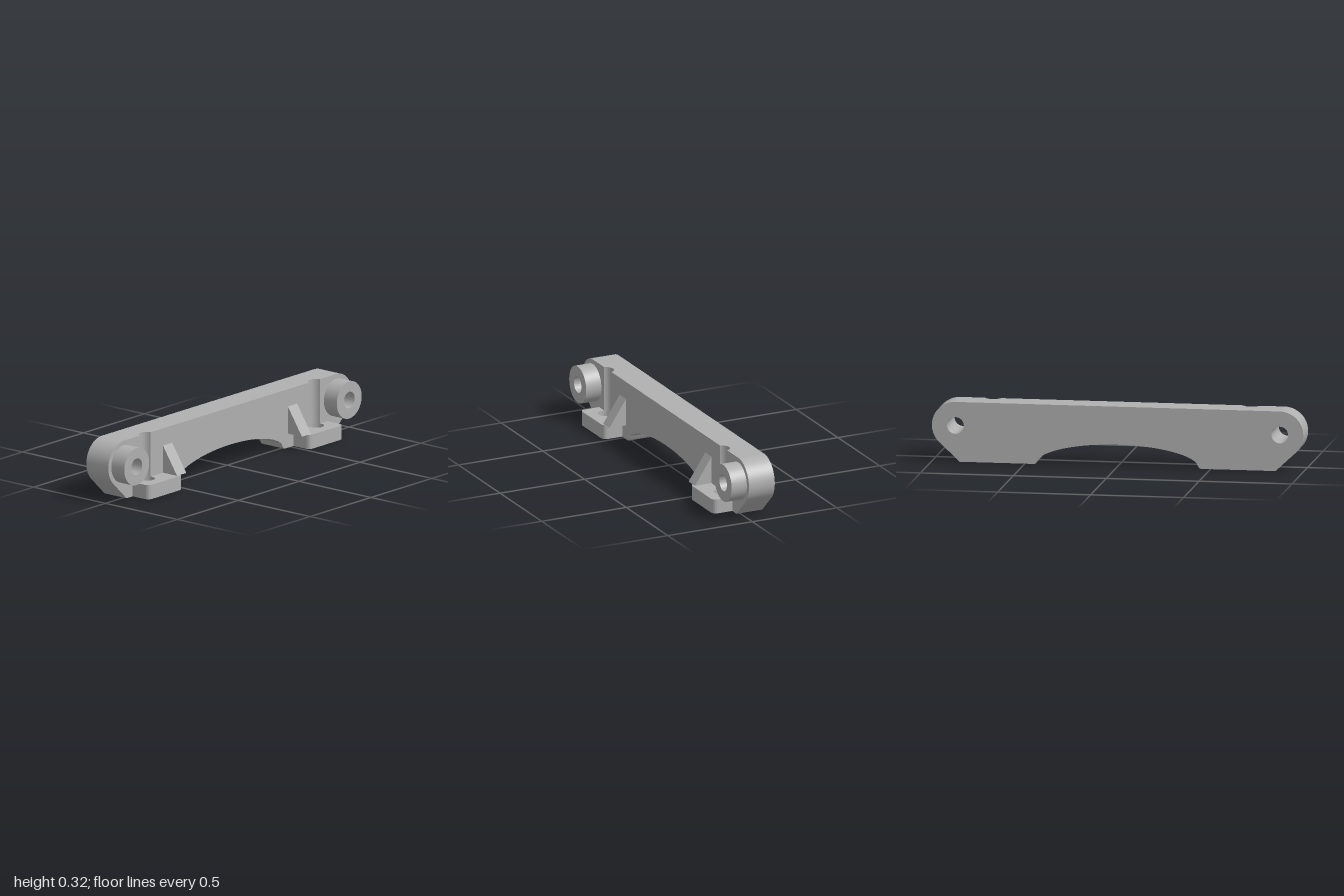
import * as THREE from 'three';
import { toCreasedNormals } from 'three/addons/utils/BufferGeometryUtils.js';

const BACK = -0.133, FACE = 0.02, TOP = 0.322; // plate faces
const PAD_IN = 0.52, PAD_OUT = 0.8, PAD_X = 0.132, PAD_H = 0.078;
const EYE_Z = 0.873, EYE_Y = 0.195, EYE_R = 0.045; // cross bores
const BOLT_X = 0.03, BOLT_Z = 0.695, BOLT_R = 0.0435; // vertical bores

function circle(x, y, r) {
  return new THREE.Path().absarc(x, y, r, 0, Math.PI * 2);
}

function extrude(shape, depth) {
  return new THREE.ExtrudeGeometry(shape, { depth, bevelEnabled: false, curveSegments: 24 });
}

// Side profile (-z, y) swept along x
function sweepX(shape, x0, x1) {
  return extrude(shape, x1 - x0).rotateY(Math.PI / 2).translate(x0, 0, 0);
}

// Plan profile (x, -z) swept along y
function sweepY(shape, y0, y1) {
  return extrude(shape, y1 - y0).rotateX(-Math.PI / 2).translate(0, y0, 0);
}

export function createModel() {
  const group = new THREE.Group();
  const grey = new THREE.MeshStandardMaterial({ color: 0xb0b0b0 });
  grey.name = 'plain grey';

  const add = (name, geometry) => {
    const mesh = new THREE.Mesh(toCreasedNormals(geometry, 0.5), grey);
    mesh.name = name;
    group.add(mesh);
  };

  // Middle of the plate with the arched underside
  const middle = new THREE.Shape();
  middle.moveTo(-PAD_IN, 0);
  middle.lineTo(-0.45, 0);
  middle.quadraticCurveTo(-0.437, 0, -0.425, 0.03);
  const lip = Math.asin(0.03 / 0.117);
  middle.absellipse(0, 0, 0.44, 0.117, Math.PI - lip, lip, true);
  middle.quadraticCurveTo(0.437, 0, 0.45, 0);
  middle.lineTo(PAD_IN, 0);
  middle.lineTo(PAD_IN, TOP);
  middle.lineTo(-PAD_IN, TOP);
  middle.closePath();
  add('archedPlate', sweepX(middle, BACK, FACE));

  for (const s of [1, -1]) {
    const side = s > 0 ? 'back' : 'front';

    // Rounded end of the plate with a cross bore
    const end = new THREE.Shape();
    const R = TOP - EYE_Y;
    end.moveTo(s * PAD_OUT, 0);
    end.lineTo(s * 0.85, 0);
    for (let i = 0; i <= 24; i++) {
      const a = THREE.MathUtils.degToRad(-47 + (137 * i) / 24);
      end.lineTo(s * (EYE_Z + R * Math.cos(a)), EYE_Y + R * Math.sin(a));
    }
    end.lineTo(s * PAD_OUT, TOP);
    end.closePath();
    end.holes.push(circle(s * EYE_Z, EYE_Y, EYE_R));
    add(side + 'PlateEnd', sweepX(end, BACK, FACE));

    // Tubular boss around the cross bore
    const boss = new THREE.Shape();
    boss.absarc(s * EYE_Z, EYE_Y, 0.102, 0, Math.PI * 2);
    boss.holes.push(circle(s * EYE_Z, EYE_Y, EYE_R));
    add(side + 'Boss', sweepX(boss, FACE, 0.11));

    // Foot pad with rounded outer corners and a bolt hole
    const r = 0.032;
    const pad = new THREE.Shape();
    pad.moveTo(BACK, s * PAD_IN);
    pad.lineTo(PAD_X - r, s * PAD_IN);
    pad.quadraticCurveTo(PAD_X, s * PAD_IN, PAD_X, s * (PAD_IN + r));
    pad.lineTo(PAD_X, s * (PAD_OUT - r));
    pad.quadraticCurveTo(PAD_X, s * PAD_OUT, PAD_X - r, s * PAD_OUT);
    pad.lineTo(BACK, s * PAD_OUT);
    pad.closePath();
    pad.holes.push(circle(BOLT_X, s * BOLT_Z, BOLT_R));
    add(side + 'FootPad', sweepY(pad, 0, PAD_H));

    // Plate above the pad, grooved for the bolt
    const grooved = new THREE.Shape();
    const half = Math.acos((BOLT_X - FACE) / BOLT_R);
    grooved.moveTo(BACK, s * PAD_IN);
    grooved.lineTo(FACE, s * PAD_IN);
    for (let i = 0; i <= 20; i++) {
      const a = Math.PI + half - (2 * half * i) / 20;
      grooved.lineTo(BOLT_X + BOLT_R * Math.cos(a), s * (BOLT_Z + BOLT_R * Math.sin(a)));
    }
    grooved.lineTo(FACE, s * PAD_OUT);
    grooved.lineTo(BACK, s * PAD_OUT);
    grooved.closePath();
    add(side + 'GroovedPlate', sweepY(grooved, PAD_H, TOP));

    // Triangular gusset beside the pad
    const gusset = new THREE.Shape();
    gusset.moveTo(FACE, PAD_H);
    gusset.lineTo(0.118, PAD_H);
    gusset.lineTo(FACE, 0.227);
    gusset.closePath();
    add(side + 'Gusset', extrude(gusset, 0.076).translate(0, 0, -s * 0.513 - 0.038));
  }
  return group;
}
